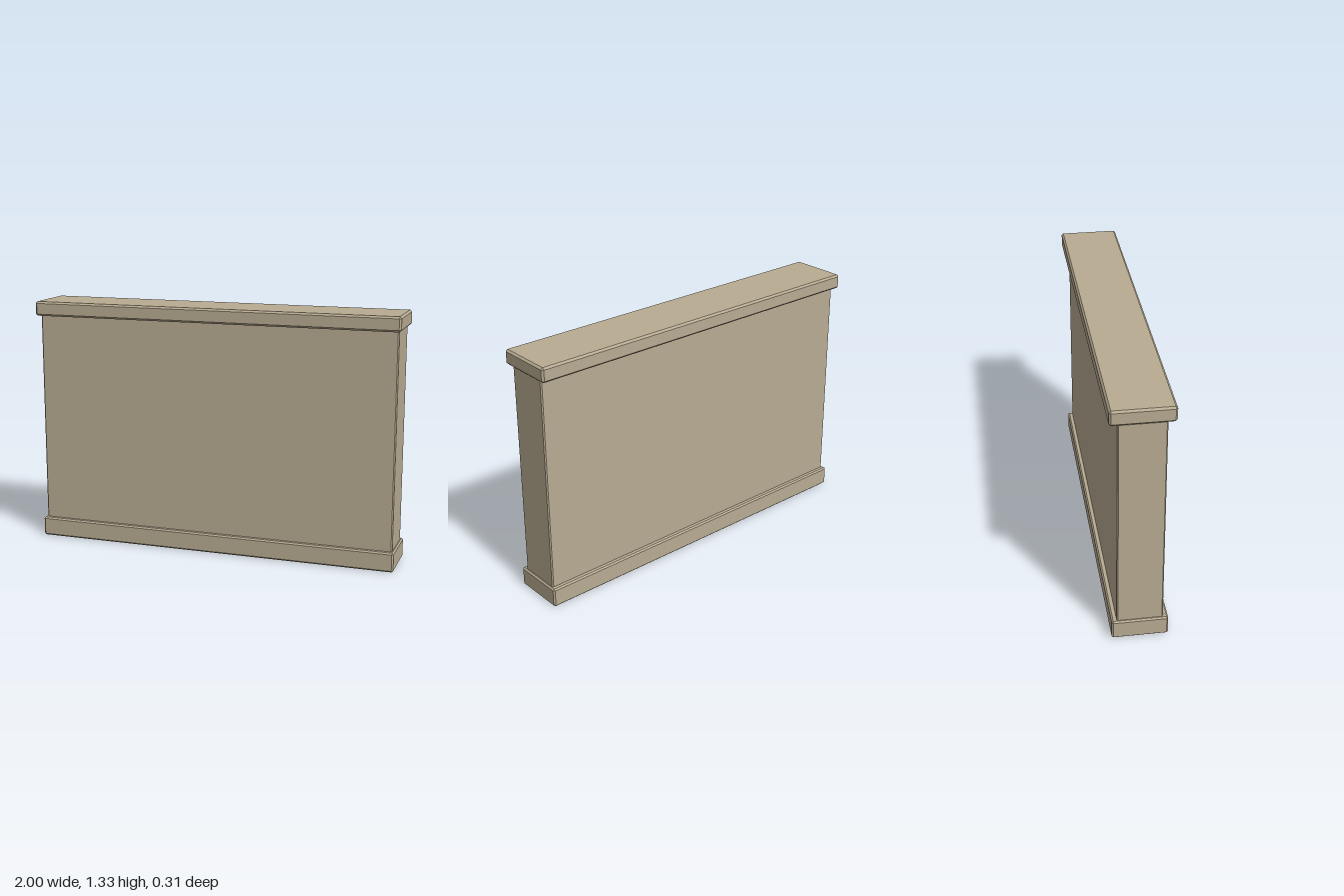
import * as THREE from 'three';
import { ConvexGeometry } from 'three/addons/geometries/ConvexGeometry.js';

// Box with flat bevels on every edge, resting on its bottom face
function beveledBox(width, height, depth, bevel) {
  const half = [width / 2, height / 2, depth / 2];
  const points = [];
  for (const sx of [-1, 1]) for (const sy of [-1, 1]) for (const sz of [-1, 1]) {
    for (let axis = 0; axis < 3; axis++) {
      // each corner gives one point per face, inset along the other two axes
      const p = half.map((h, i) => (i === axis ? h : h - bevel));
      points.push(new THREE.Vector3(p[0] * sx, p[1] * sy, p[2] * sz));
    }
  }
  return new ConvexGeometry(points).translate(0, height / 2, 0);
}

export function createModel() {
  const group = new THREE.Group();
  group.name = 'wallSection';

  const stone = new THREE.MeshStandardMaterial({ color: 0xb8ab92 });
  stone.name = 'sandstone';

  const parts = [
    // name, width, bottom, top, depth, bevel
    ['base', 1.994, 0, 0.104, 0.284, 0.008],
    ['wall', 1.97, 0.09, 1.252, 0.232, 0.006],
    ['cap', 2, 1.25, 1.328, 0.312, 0.01],
  ];
  for (const [name, width, bottom, top, depth, bevel] of parts) {
    const mesh = new THREE.Mesh(beveledBox(width, top - bottom, depth, bevel), stone);
    mesh.name = name;
    mesh.position.y = bottom;
    group.add(mesh);
  }
  return group;
}
